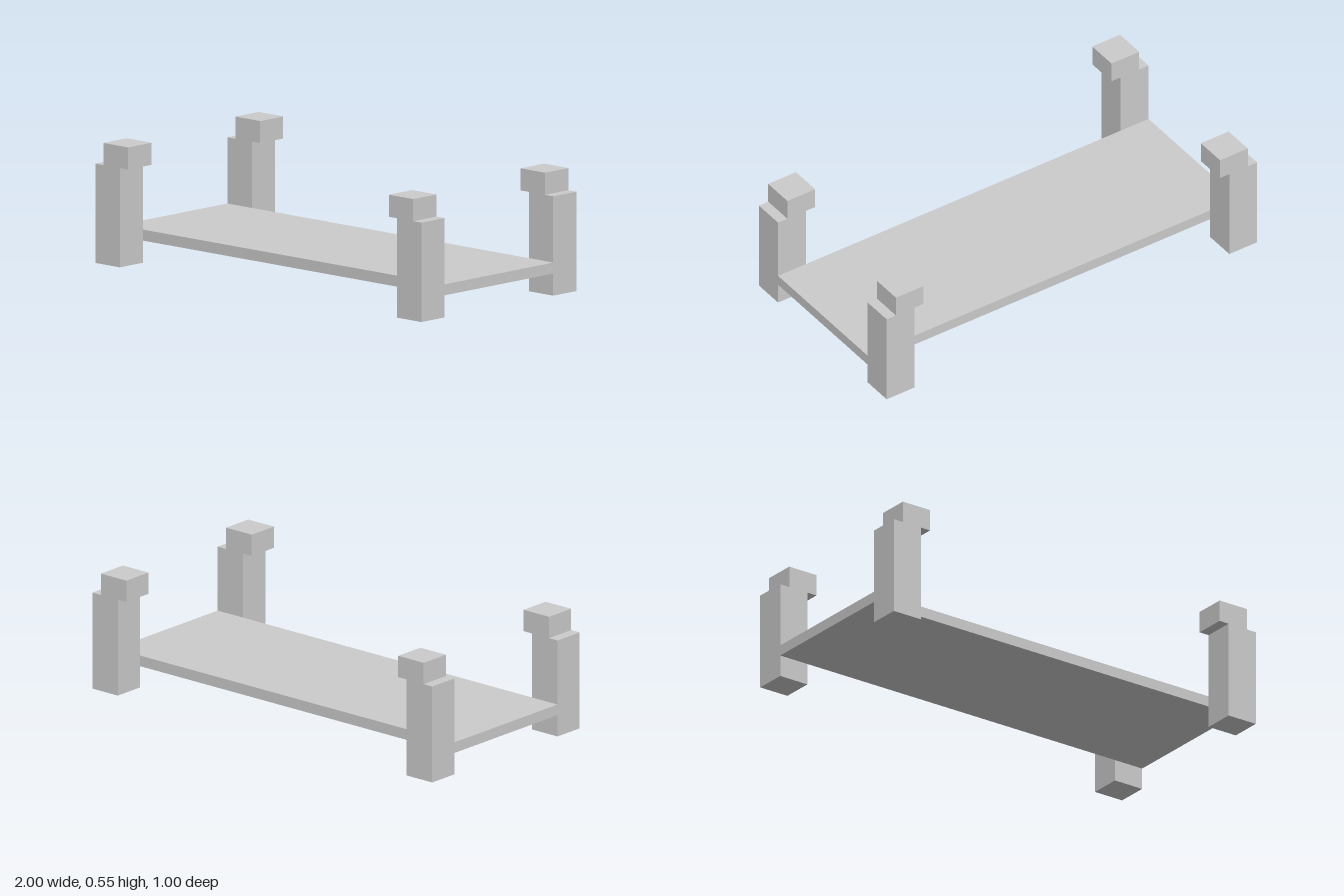
import * as THREE from 'three';

export function createModel() {
  const model = new THREE.Group();
  model.name = 'platform';
  const material = new THREE.MeshStandardMaterial({ color: 0xcccccc, flatShading: true });

  const addBox = (parent, name, size, position) => {
    const mesh = new THREE.Mesh(new THREE.BoxGeometry(...size), material);
    mesh.name = name;
    mesh.position.set(...position);
    parent.add(mesh);
  };

  // Flat deck running the full length between the posts
  addBox(model, 'deck', [2, 0.05, 0.7], [0, 0.125, 0]);

  // Corner posts, each with a block on top shifted inward
  for (const sx of [-1, 1]) {
    for (const sz of [-1, 1]) {
      const corner = new THREE.Group();
      corner.name = (sz > 0 ? 'front' : 'back') + (sx > 0 ? 'Left' : 'Right') + 'Post';
      addBox(corner, 'post', [0.15, 0.45, 0.15], [sx * 0.925, 0.225, sz * 0.425]);
      addBox(corner, 'cap', [0.15, 0.1, 0.15], [sx * 0.875, 0.5, sz * 0.425]);
      model.add(corner);
    }
  }
  return model;
}
